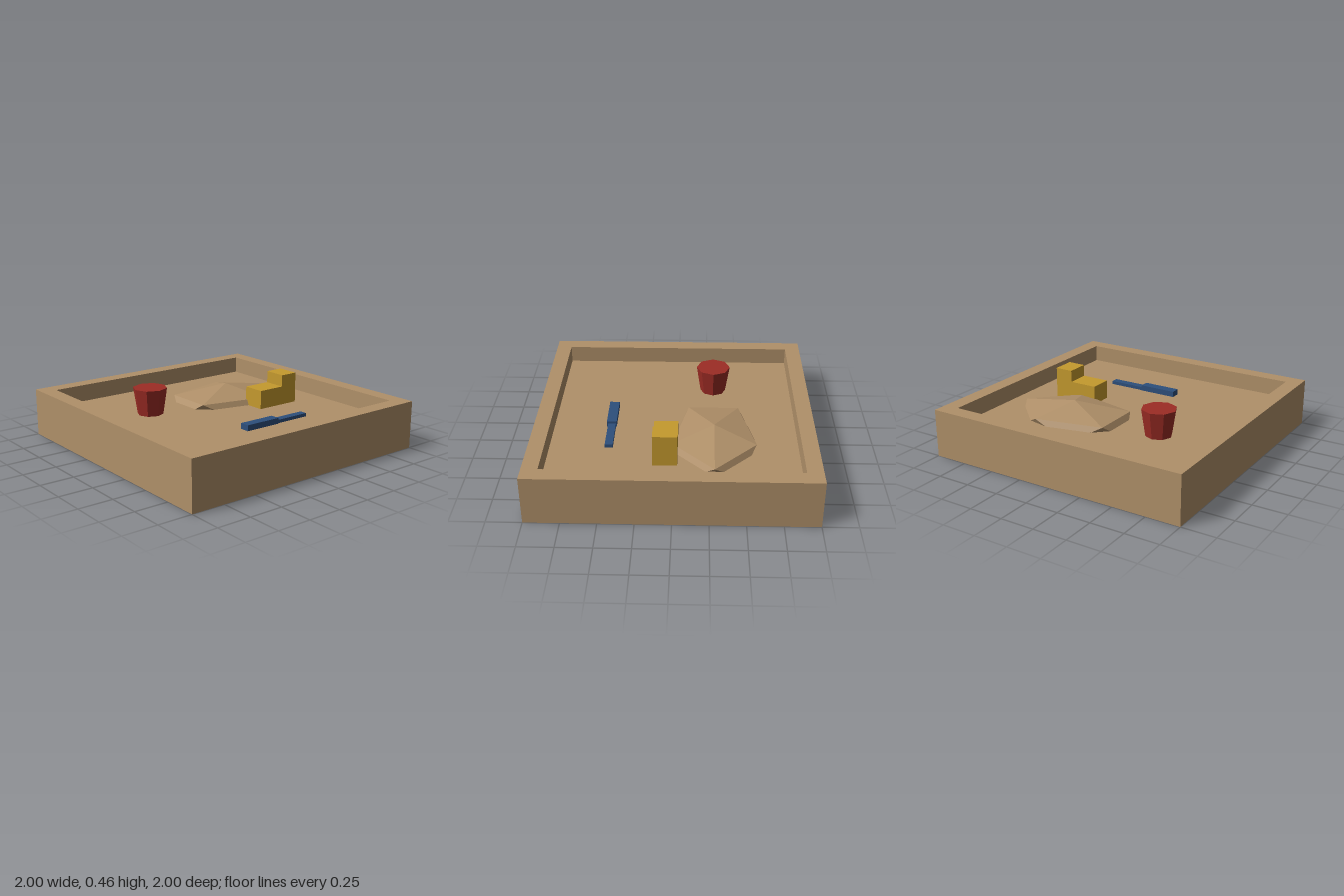
import * as THREE from 'three';

const FLOOR = 0.229, TOP = 0.357, INNER = 0.886;

function material(name, color) {
  const m = new THREE.MeshStandardMaterial({ color, flatShading: true });
  m.name = name;
  return m;
}

// Square outline centred on the origin
function square(PathType, r) {
  return new PathType([[-r, -r], [r, -r], [r, r], [-r, r]].map(([x, y]) => new THREE.Vector2(x, y)));
}

// Low five-sided heap: apex, shoulder ring and a wider-set ring buried in the floor
function moundGeometry(rx, ry, rz) {
  const ring = (y, offset) => Array.from({ length: 5 }, (_, i) => {
    const a = (i + offset) * Math.PI * 2 / 5;
    return [Math.cos(a) * 0.894 * rx, y * ry, Math.sin(a) * 0.894 * rz];
  });
  const apex = [0, ry, 0], upper = ring(0.447, 0), lower = ring(-0.447, 0.5);
  const corners = [];
  for (let i = 0; i < 5; i++) {
    const j = (i + 1) % 5;
    corners.push(apex, upper[j], upper[i]);
    corners.push(upper[i], upper[j], lower[i]);
    corners.push(upper[j], lower[j], lower[i]);
  }
  const g = new THREE.BufferGeometry();
  g.setAttribute('position', new THREE.Float32BufferAttribute(corners.flat(), 3));
  g.computeVertexNormals();
  return g;
}

export function createModel() {
  const model = new THREE.Group();
  model.name = 'sandbox';
  const sand = material('sand', 0xb09069);
  const red = material('red', 0x9c2c25);
  const yellow = material('yellow', 0xc59a2e);
  const blue = material('blue', 0x2d4f7c);

  function add(name, geometry, mat, x = 0, y = 0, z = 0, parent = model) {
    const mesh = new THREE.Mesh(geometry, mat);
    mesh.name = name;
    mesh.position.set(x, y, z);
    parent.add(mesh);
    return mesh;
  }
  // Box standing on the sand, given by its x range, z range and y range
  function block(name, mat, [x0, x1], [z0, z1], [y0, y1], parent = model) {
    return add(name, new THREE.BoxGeometry(x1 - x0, y1 - y0, z1 - z0), mat,
      (x0 + x1) / 2, (y0 + y1) / 2, (z0 + z1) / 2, parent);
  }
  function group(name) {
    const g = new THREE.Group();
    g.name = name;
    model.add(g);
    return g;
  }

  // Frame walls and sand bed
  const outline = square(THREE.Shape, 1);
  outline.holes.push(square(THREE.Path, INNER));
  const frame = new THREE.ExtrudeGeometry(outline, { depth: TOP, bevelEnabled: false });
  frame.rotateX(-Math.PI / 2);
  add('frame', frame, sand);
  block('sandBed', sand, [-INNER, INNER], [-INNER, INNER], [0, FLOOR]);

  // Sand heap
  add('sandMound', moundGeometry(0.503, 0.138, 0.353), sand, 0.286, 0.208, -0.286);

  // Tapered bucket
  add('bucket', new THREE.CylinderGeometry(0.128, 0.097, 0.2, 8), red, -0.429, FLOOR + 0.1, -0.286);

  // Toy truck
  const truck = group('toyTruck');
  block('truckBody', yellow, [0.286, 0.5], [-0.029, 0.143], [FLOOR, 0.371], truck);
  block('truckCab', yellow, [0.5, 0.638], [-0.029, 0.143], [FLOOR, 0.46], truck);

  // Toy shovel
  const shovel = group('toyShovel');
  block('shovelGrip', blue, [-0.143, 0.143], [0.428, 0.5], [FLOOR, FLOOR + 0.043], shovel);
  block('shovelBlade', blue, [0.143, 0.425], [0.434, 0.491], [FLOOR, FLOOR + 0.025], shovel);

  return model;
}
